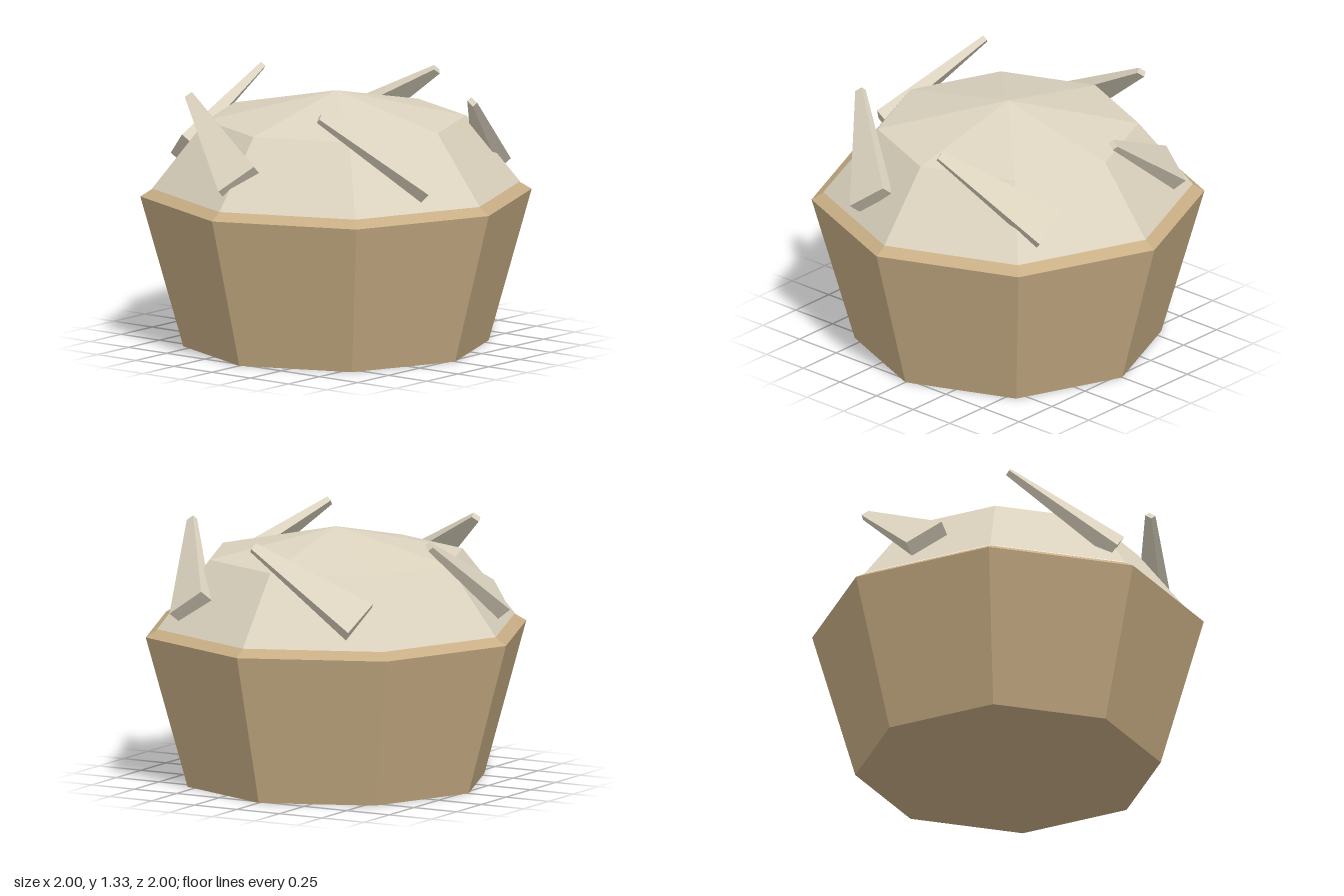
import * as THREE from 'three';

const material = (color) => new THREE.MeshStandardMaterial({ color, flatShading: true });

// Flat tapered flake: wide at the bottom, narrow at the tip
function flakeGeometry(width, length, depth, tipWidth, tipDepth) {
  const geo = new THREE.BoxGeometry(width, length, depth);
  const p = geo.attributes.position;
  for (let i = 0; i < p.count; i++) {
    if (p.getY(i) > 0) {
      p.setX(i, Math.sign(p.getX(i)) * tipWidth / 2);
      p.setZ(i, Math.sign(p.getZ(i)) * tipDepth / 2);
    }
  }
  geo.computeVertexNormals();
  return geo;
}

export function createModel() {
  const model = new THREE.Group();
  model.name = 'cupcake';
  const caseMat = material(0xc8ae85);
  const creamMat = material(0xdcd3bf);

  const add = (name, geo, mat, y) => {
    const mesh = new THREE.Mesh(geo, mat);
    mesh.name = name;
    mesh.position.y = y;
    model.add(mesh);
  };

  // Octagonal case, wider at the top, with a bevelled rim
  add('case', new THREE.CylinderGeometry(1, 0.78, 0.78, 8), caseMat, 0.39);
  add('rim', new THREE.CylinderGeometry(0.935, 1, 0.04, 8, 1, true), caseMat, 0.8);

  // Low dome of icing
  const dome = new THREE.SphereGeometry(0.94, 8, 2, 0, Math.PI * 2, 0, Math.PI / 2);
  dome.scale(1, 0.49 / 0.94, 1);
  add('icing', dome, creamMat, 0.82);

  // One flake laid between its wide end and its tip
  const end = new THREE.Vector3(-0.22, 0.957, 0.795);
  const tip = new THREE.Vector3(-0.64, 1.31, 0.41);
  const along = tip.clone().sub(end);
  const length = along.length();
  along.normalize();
  const across = new THREE.Vector3(-0.16, -0.13, 0.07);
  across.addScaledVector(along, -across.dot(along)).normalize();
  const out = across.clone().cross(along);
  const flake = flakeGeometry(0.22, length, 0.078, 0.044, 0.03);
  flake.applyMatrix4(new THREE.Matrix4().makeBasis(across, along, out)
    .setPosition(end.clone().add(tip).multiplyScalar(0.5)));

  // Five flakes spaced evenly around the icing
  for (let i = 0; i < 5; i++) {
    const mesh = new THREE.Mesh(flake, creamMat);
    mesh.name = `flake${i + 1}`;
    mesh.rotation.y = (i * Math.PI * 2) / 5;
    model.add(mesh);
  }
  return model;
}
